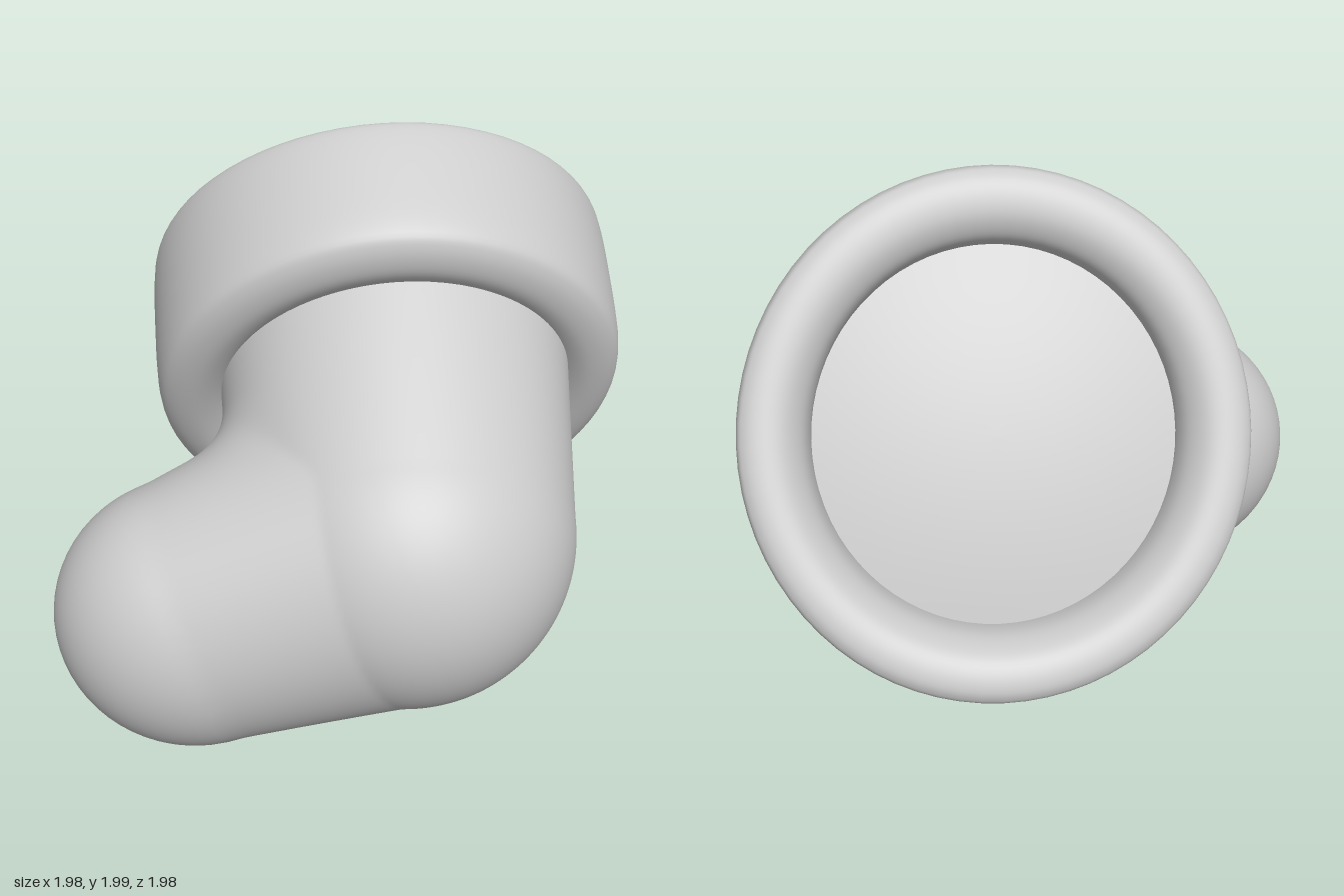
import * as THREE from 'three';
import { mergeVertices } from 'three/addons/utils/BufferGeometryUtils.js';

const V = (x, y, z) => new THREE.Vector3(x, y, z);

// Key points of the stocking
const heel = V(0.205, 0.725, 0.412);
const toe = V(-0.505, 0.482, 0.51);
const legTop = V(0.175, 1.22, -0.4);

// Cuff frame: axis points up and back, out of the opening
const cuffCentre = V(0.135, 1.275, -0.585);
const axis = V(-0.07, 0.5, -0.865).normalize();

// Distance to a round limb that changes radius from a to b
function limb(p, a, b, ra, rb, squash) {
  const ab = b.clone().sub(a);
  const t = THREE.MathUtils.clamp(p.clone().sub(a).dot(ab) / ab.lengthSq(), 0, 1);
  const d = p.clone().sub(a.clone().addScaledVector(ab, t));
  d.z *= 1 + squash * t;
  return d.length() - (ra + (rb - ra) * t);
}

// Leg and foot, blended only in the crook, the leg cut off inside the cuff
function sockDistance(p) {
  const leg = limb(p, heel, legTop, 0.583, 0.635, 0);
  const foot = limb(p, heel, toe, 0.583, 0.482, 0.14);
  const k = 0.001 + 0.14 * THREE.MathUtils.smoothstep(p.distanceTo(heel), 0.58, 0.74);
  const h = Math.max(k - Math.abs(leg - foot), 0) / k;
  const blend = Math.min(leg, foot) - h * h * k / 4;
  return Math.max(blend, p.clone().sub(cuffCentre).dot(axis) + 0.25);
}

// Sphere around the heel, pushed out to the blended surface
function sockGeometry() {
  let geo = new THREE.IcosahedronGeometry(1, 32);
  geo.deleteAttribute('normal');
  geo.deleteAttribute('uv');
  geo = mergeVertices(geo, 1e-4);
  const pos = geo.attributes.position;
  const dir = V(0, 0, 0);
  for (let i = 0; i < pos.count; i++) {
    dir.fromBufferAttribute(pos, i).normalize();
    let near = 0, far = 2.5;
    for (let n = 0; n < 22; n++) {
      const mid = (near + far) / 2;
      if (sockDistance(heel.clone().addScaledVector(dir, mid)) < 0) near = mid;
      else far = mid;
    }
    const p = heel.clone().addScaledVector(dir, near);
    pos.setXYZ(i, p.x, p.y, p.z);
  }
  geo.computeVertexNormals();
  return geo;
}

// Rounded band, deeper on its lower side
function cuffGeometry() {
  const profile = [
    [0.58, -0.535], [0.64, -0.59], [0.72, -0.615], [0.805, -0.59], [0.845, -0.52],
    [0.852, -0.3], [0.847, -0.08], [0.82, -0.02], [0.76, 0], [0.69, -0.015],
    [0.635, -0.07], [0.61, -0.14], [0.605, -0.22],
  ].map(([r, h]) => new THREE.Vector2(r, h));
  const geo = new THREE.LatheGeometry(new THREE.SplineCurve(profile).getPoints(60), 72);
  const pos = geo.attributes.position;
  for (let i = 0; i < pos.count; i++) {
    const z = pos.getZ(i);
    pos.setXYZ(i, pos.getX(i) * 0.97, pos.getY(i) * (1 - 0.19 * z), z * 1.015);
  }
  // Lathe seam stays smooth by welding before computing normals
  geo.deleteAttribute('uv');
  geo.deleteAttribute('normal');
  const welded = mergeVertices(geo, 1e-4);
  welded.computeVertexNormals();
  return welded;
}

// Shallow dome closing the opening
function fillGeometry() {
  const points = [];
  for (let i = 0; i <= 10; i++) {
    const r = 0.62 * (1 - i / 10);
    points.push(new THREE.Vector2(r, -0.09 - 0.075 * (r / 0.62) ** 2));
  }
  return new THREE.LatheGeometry(points, 64);
}

export function createModel() {
  const grey = new THREE.MeshStandardMaterial({ color: 0xcccccc });
  grey.name = 'plain grey';
  const model = new THREE.Group();
  model.name = 'stocking';

  const add = (parent, name, geometry) => {
    const mesh = new THREE.Mesh(geometry, grey);
    mesh.name = name;
    parent.add(mesh);
  };

  add(model, 'legAndFoot', sockGeometry());

  // Cuff group tilted onto the leg
  const cuff = new THREE.Group();
  cuff.name = 'cuff';
  const side = V(1, 0, 0).addScaledVector(axis, -axis.x).normalize();
  const up = side.clone().cross(axis);
  cuff.quaternion.setFromRotationMatrix(new THREE.Matrix4().makeBasis(side, axis, up));
  cuff.position.copy(cuffCentre);
  add(cuff, 'cuffBand', cuffGeometry());
  add(cuff, 'openingFill', fillGeometry());
  model.add(cuff);

  return model;
}
